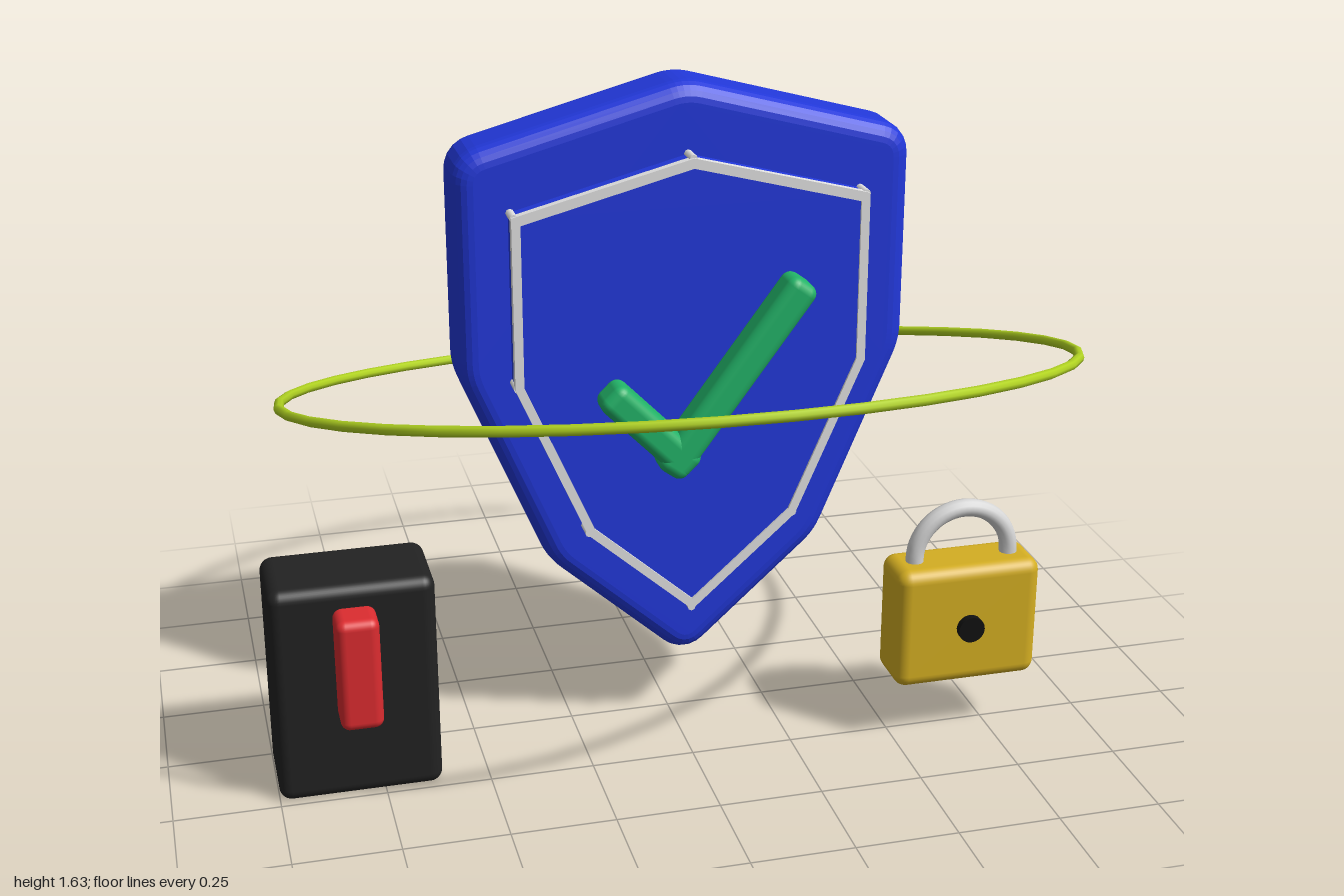
import * as THREE from 'three';
import { RoundedBoxGeometry } from 'three/addons/geometries/RoundedBoxGeometry.js';

const material = (name, color) => {
  const m = new THREE.MeshStandardMaterial({ color });
  m.name = name;
  return m;
};

export function createModel() {
  const blue = material('royal blue', 0x2238da);
  const white = material('off white', 0xe2e2e2);
  const green = material('green', 0x22b368);
  const lime = material('lime', 0xb2d422);
  const black = material('charcoal', 0x222222);
  const red = material('red', 0xdc2c30);
  const gold = material('gold', 0xd4ae22);
  const steel = material('light steel', 0xd6d6d6);
  const dark = material('keyhole black', 0x111111);

  const group = new THREE.Group();
  const add = (name, geometry, mat, x = 0, y = 0, z = 0) => {
    const mesh = new THREE.Mesh(geometry, mat);
    mesh.name = name;
    mesh.position.set(x, y, z);
    group.add(mesh);
    return mesh;
  };
  const CX = 0.025; // centre line of the shield

  // Right half from the top point down to the tip, mirrored to a full outline
  const mirrored = (half) => [
    ...half,
    ...half.slice(1, -1).reverse().map(([x, y]) => [-x, y]),
  ].map(([x, y]) => new THREE.Vector2(x, y)).reverse();

  // Closed shape with softened corners
  const roundedShape = (pts, r) => {
    const shape = new THREE.Shape();
    pts.forEach((p, i) => {
      const prev = pts[(i + pts.length - 1) % pts.length];
      const next = pts[(i + 1) % pts.length];
      const a = p.clone().add(prev.clone().sub(p).setLength(r));
      const b = p.clone().add(next.clone().sub(p).setLength(r));
      if (i === 0) shape.moveTo(a.x, a.y);
      else shape.lineTo(a.x, a.y);
      shape.quadraticCurveTo(p.x, p.y, b.x, b.y);
    });
    shape.closePath();
    return shape;
  };

  // Shield body with a rounded rim
  const body = mirrored([[0, 1.59], [0.497, 1.455], [0.497, 0.97], [0.3, 0.5], [0, 0.23]]);
  add('shieldBody', new THREE.ExtrudeGeometry(roundedShape(body, 0.03), {
    depth: 0.09, bevelEnabled: true, bevelThickness: 0.045, bevelSize: 0.045,
    bevelSegments: 5, curveSegments: 5,
  }), blue, CX, 0, -0.045);

  // Raised panel
  const edge = mirrored([[0, 1.468], [0.42, 1.358], [0.42, 0.95], [0.255, 0.568], [0, 0.342]]);
  const inner = mirrored([[0, 1.447], [0.402, 1.342], [0.402, 0.954], [0.24, 0.58], [0, 0.367]]);
  add('shieldPanel', new THREE.ExtrudeGeometry(new THREE.Shape(edge.map((p) => p.clone().multiplyScalar(1))), {
    depth: 0.055, bevelEnabled: false,
  }), blue, CX, 0, 0.085);

  // White border around the panel
  const outer = mirrored([[0, 1.471], [0.423, 1.361], [0.423, 0.949], [0.257, 0.566], [0, 0.338]]);
  const border = new THREE.Shape(outer);
  border.holes.push(new THREE.Path(inner));
  add('panelBorder', new THREE.ExtrudeGeometry(border, { depth: 0.02, bevelEnabled: false }),
    white, CX, 0, 0.126);

  // Small posts on the panel corners
  edge.forEach((p) => {
    const post = add('panelCornerPost', new THREE.CylinderGeometry(0.01, 0.01, 0.05, 8),
      white, CX + p.x * 0.99, p.y, 0.115);
    post.rotation.x = Math.PI / 2;
  });

  // Check mark from two rounded bars
  const bar = (name, x1, y1, x2, y2) => {
    const length = Math.hypot(x2 - x1, y2 - y1);
    const mesh = add(name, new RoundedBoxGeometry(length, 0.08, 0.09, 3, 0.025),
      green, (x1 + x2) / 2, (y1 + y2) / 2, 0.187);
    mesh.rotation.z = Math.atan2(y2 - y1, x2 - x1);
  };
  bar('checkShortArm', -0.192, 0.945, 0.008, 0.74);
  bar('checkLongArm', -0.052, 0.732, 0.278, 1.178);

  // Tilted orbit ring
  const ring = add('orbitRing', new THREE.TorusGeometry(0.952, 0.012, 8, 40), lime, CX, 0.9, 0);
  ring.rotation.x = Math.PI / 2 - THREE.MathUtils.degToRad(15);

  // Switch box and its red lever
  add('switchBox', new RoundedBoxGeometry(0.387, 0.546, 0.228, 4, 0.03), black, -0.8065, 0.273, 0.128);
  add('switchLever', new RoundedBoxGeometry(0.1, 0.28, 0.1, 4, 0.022), red, -0.805, 0.355, 0.277);

  // Padlock
  const LX = 0.673;
  add('padlockBody', new RoundedBoxGeometry(0.364, 0.31, 0.15, 4, 0.032), gold, LX, 0.305, 0.262);
  add('padlockShackle', new THREE.TorusGeometry(0.121, 0.022, 12, 28, Math.PI), steel, LX, 0.467, 0.262);
  [-1, 1].forEach((s) => add('shackleLeg', new THREE.CylinderGeometry(0.022, 0.022, 0.06, 12),
    steel, LX + s * 0.121, 0.437, 0.262));
  const keyhole = add('keyhole', new THREE.CylinderGeometry(0.033, 0.033, 0.04, 20), dark, LX, 0.302, 0.335);
  keyhole.rotation.x = Math.PI / 2;

  return group;
}
